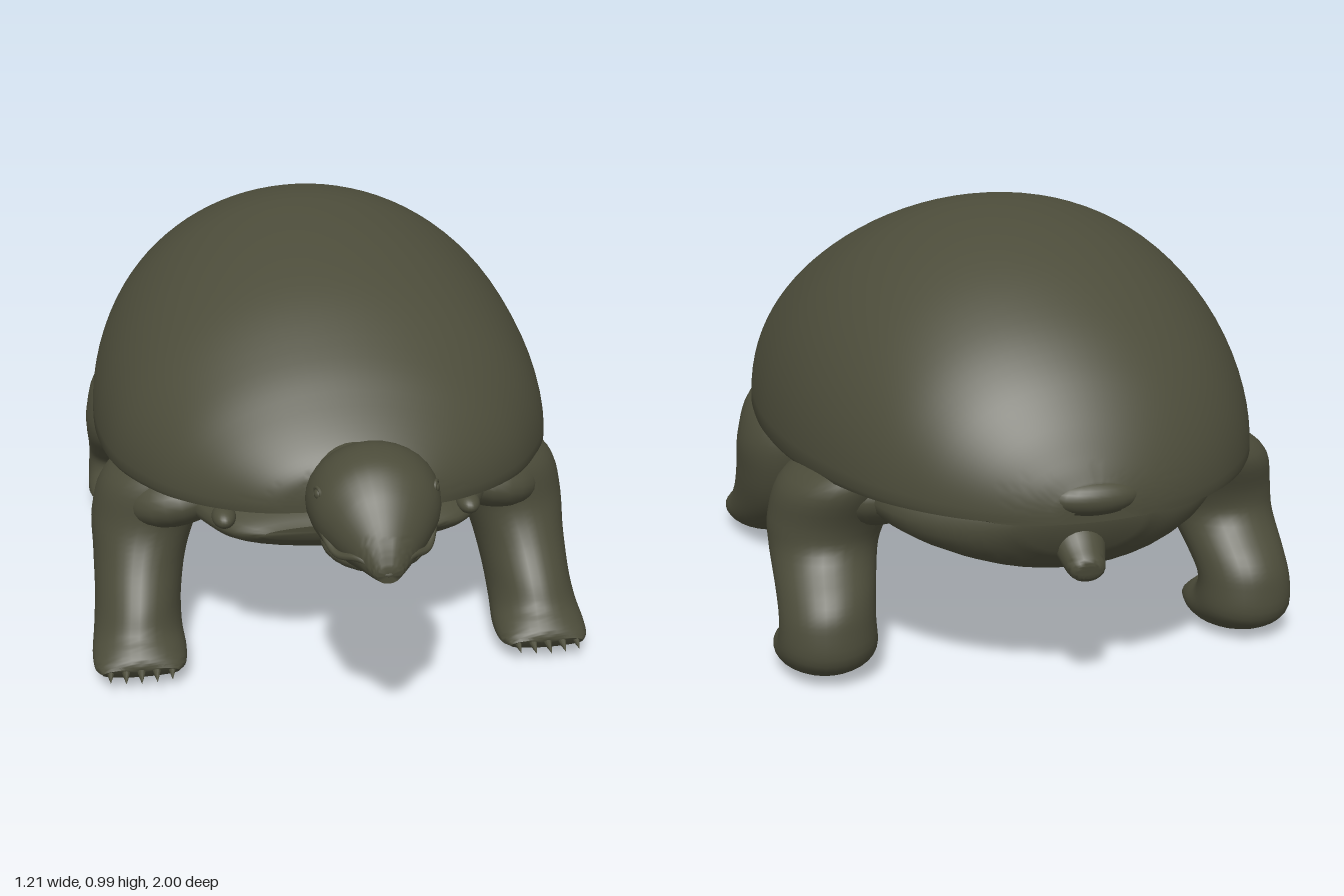
import * as THREE from 'three';
import { toCreasedNormals } from 'three/addons/utils/BufferGeometryUtils.js';

const skin = new THREE.MeshStandardMaterial({ color: 0x4c4c3a });
skin.name = 'olive';

// Closed surface through rings of points, wound so that it faces outward
function skinRings(rings, crease = 1) {
  const n = rings[0].length, pos = [], idx = [];
  rings.forEach(r => r.forEach(p => pos.push(...p)));
  for (let i = 0; i < rings.length - 1; i++) {
    for (let j = 0; j < n; j++) {
      const a = i * n + j, b = i * n + (j + 1) % n;
      idx.push(a, b, a + n, b, b + n, a + n);
    }
  }
  [0, rings.length - 1].forEach((k, end) => {
    const c = pos.length / 3;
    pos.push(...[0, 1, 2].map(d => rings[k].reduce((s, p) => s + p[d], 0) / n));
    for (let j = 0; j < n; j++) {
      const a = k * n + j, b = k * n + (j + 1) % n;
      if (end) idx.push(a, b, c); else idx.push(b, a, c);
    }
  });
  let volume = 0;
  const P = i => new THREE.Vector3().fromArray(pos, i * 3);
  for (let i = 0; i < idx.length; i += 3) volume += P(idx[i]).dot(P(idx[i + 1]).cross(P(idx[i + 2])));
  if (volume < 0) idx.reverse();
  const g = new THREE.BufferGeometry();
  g.setAttribute('position', new THREE.Float32BufferAttribute(pos, 3));
  g.setIndex(idx);
  return toCreasedNormals(g, crease);
}

// Smooths a list of six-number stations
function smooth(stations, steps) {
  const curve = o => new THREE.CatmullRomCurve3(
    stations.map(s => new THREE.Vector3(s[o], s[o + 1], s[o + 2])), false, 'catmullrom', 0.5);
  const a = curve(0), b = curve(3);
  return Array.from({ length: steps + 1 }, (_, i) =>
    [...a.getPoint(i / steps).toArray(), ...b.getPoint(i / steps).toArray()]);
}

// Elliptical loft; station = [centre x, half width, z1, y1, z2, y2] of the side outline
function limb(stations, side = 1, steps = 40, n = 32) {
  return skinRings(smooth(stations, steps).map(([x, w, z1, y1, z2, y2]) =>
    Array.from({ length: n }, (_, j) => {
      const t = j / n * Math.PI * 2, c = Math.cos(t) / 2;
      return [side * x + w * Math.sin(t), (y1 + y2) / 2 + c * (y1 - y2), (z1 + z2) / 2 + c * (z1 - z2)];
    })));
}

// Domed shell; station = [z, half width, rim y, top y]
function dome(stations) {
  const n = 48;
  return skinRings(smooth(stations.map(s => [...s, 0, 0]), 72).map(([z, w, rim, top]) => {
    const ring = [];
    for (let j = 0; j <= n; j++) {
      const t = j / n * Math.PI;
      ring.push([w * Math.cos(t), rim + 0.012 + (top - rim - 0.012) * Math.sin(t), z]);
    }
    // lip and hollow underside
    for (const k of [-0.985, -0.93, -0.86, -0.4, 0, 0.4, 0.86, 0.93, 0.985]) {
      ring.push([w * k, rim + (Math.abs(k) < 0.9 ? Math.min(0.03, (top - rim) * 0.3) : 0), z]);
    }
    return ring;
  }), 0.8);
}

export function createModel() {
  const model = new THREE.Group();
  const add = (name, geo, parent = model) => {
    const m = new THREE.Mesh(geo, skin);
    m.name = name;
    parent.add(m);
    return m;
  };
  const blob = (name, p, r) => {
    const m = add(name, new THREE.SphereGeometry(1, 24, 16));
    m.position.set(...p);
    m.scale.set(...r);
    return m;
  };

  // Shell
  add('shell', dome([
    [0.597, 0.12, 0.5, 0.575], [0.585, 0.19, 0.497, 0.605], [0.55, 0.262, 0.49, 0.645],
    [0.48, 0.355, 0.48, 0.705], [0.38, 0.443, 0.47, 0.78], [0.22, 0.525, 0.458, 0.872],
    [0.05, 0.562, 0.45, 0.935], [-0.12, 0.573, 0.445, 0.975], [-0.27, 0.567, 0.442, 0.988],
    [-0.44, 0.54, 0.443, 0.96], [-0.6, 0.492, 0.446, 0.898], [-0.74, 0.425, 0.447, 0.814],
    [-0.84, 0.345, 0.447, 0.728], [-0.91, 0.255, 0.445, 0.64], [-0.955, 0.165, 0.445, 0.565],
    [-0.98, 0.085, 0.447, 0.515]]));
  blob('shellTailBump', [0, 0.488, -0.95], [0.1, 0.04, 0.048]);

  // Underside
  add('belly', limb([
    [0, 0.2, 0.525, 0.43, 0.52, 0.39], [0, 0.275, 0.48, 0.455, 0.475, 0.35],
    [0, 0.335, 0.38, 0.49, 0.38, 0.315], [0, 0.42, 0.2, 0.52, 0.2, 0.3],
    [0, 0.49, 0, 0.54, 0, 0.292], [0, 0.49, -0.3, 0.54, -0.3, 0.303],
    [0, 0.44, -0.52, 0.53, -0.52, 0.3], [0, 0.36, -0.7, 0.51, -0.7, 0.275],
    [0, 0.24, -0.82, 0.49, -0.81, 0.28], [0, 0.13, -0.9, 0.47, -0.88, 0.34]]));
  add('bridge', limb([
    [0, 0.28, 0.44, 0.49, 0.44, 0.44], [0, 0.38, 0.32, 0.49, 0.32, 0.41],
    [0, 0.52, 0.1, 0.49, 0.1, 0.4], [0, 0.53, -0.2, 0.49, -0.2, 0.4],
    [0, 0.48, -0.5, 0.49, -0.5, 0.4], [0, 0.36, -0.76, 0.48, -0.76, 0.4],
    [0, 0.22, -0.9, 0.48, -0.9, 0.41]]));

  // Tail
  add('tail', limb([
    [0, 0.08, -0.78, 0.43, -0.78, 0.31], [0, 0.06, -0.86, 0.41, -0.85, 0.31],
    [0, 0.045, -0.91, 0.365, -0.89, 0.29], [0, 0.035, -0.935, 0.34, -0.92, 0.29],
    [0, 0.015, -0.935, 0.32, -0.93, 0.3]], 1, 20, 20));

  // Neck and head
  add('neckAndHead', limb([
    [0, 0.12, 0.4, 0.6, 0.4, 0.36], [0, 0.11, 0.54, 0.642, 0.51, 0.4],
    [0, 0.102, 0.62, 0.648, 0.585, 0.49], [0, 0.105, 0.68, 0.66, 0.66, 0.505],
    [0, 0.126, 0.725, 0.72, 0.72, 0.5], [0, 0.14, 0.79, 0.748, 0.78, 0.502],
    [0, 0.132, 0.86, 0.738, 0.855, 0.508], [0, 0.102, 0.915, 0.7, 0.91, 0.516],
    [0, 0.068, 0.955, 0.65, 0.95, 0.524], [0, 0.042, 0.982, 0.606, 0.978, 0.528],
    [0, 0.024, 0.998, 0.57, 0.994, 0.532]], 1, 60));
  blob('lowerJaw', [0, 0.543, 0.82], [0.112, 0.042, 0.125]);
  const lip = new THREE.CatmullRomCurve3([
    [-0.12, 0.6, 0.855], [-0.094, 0.567, 0.918], [-0.052, 0.575, 0.962], [0, 0.552, 0.99],
    [0.052, 0.575, 0.962], [0.094, 0.567, 0.918], [0.12, 0.6, 0.855]].map(p => new THREE.Vector3(...p)));
  add('lip', new THREE.TubeGeometry(lip, 40, 0.008, 8));

  // Legs: side outlines from hip or shoulder down to the toes
  const legs = {
    frontLeg: [
      [0.36, 0.1, 0.3, 0.5, 0.05, 0.5], [0.415, 0.138, 0.315, 0.43, 0.02, 0.43],
      [0.455, 0.132, 0.315, 0.33, 0, 0.33], [0.475, 0.114, 0.35, 0.25, 0.03, 0.22],
      [0.485, 0.105, 0.41, 0.17, 0.09, 0.13], [0.49, 0.106, 0.44, 0.122, 0.19, 0.055],
      [0.49, 0.112, 0.465, 0.1, 0.3, 0.012], [0.49, 0.107, 0.485, 0.08, 0.4, 0.008],
      [0.49, 0.09, 0.49, 0.065, 0.465, 0.027]],
    hindLeg: [
      [0.36, 0.1, -0.34, 0.49, -0.65, 0.49], [0.43, 0.135, -0.32, 0.42, -0.65, 0.42],
      [0.46, 0.135, -0.315, 0.33, -0.615, 0.33], [0.475, 0.122, -0.34, 0.255, -0.62, 0.27],
      [0.485, 0.11, -0.43, 0.185, -0.69, 0.19], [0.49, 0.106, -0.5, 0.14, -0.712, 0.13],
      [0.49, 0.11, -0.5, 0.11, -0.706, 0.05], [0.49, 0.112, -0.47, 0.095, -0.61, 0.001],
      [0.49, 0.1, -0.455, 0.08, -0.51, 0.01], [0.49, 0.085, -0.45, 0.06, -0.465, 0.027]],
  };
  for (const side of [1, -1]) {
    const label = side > 0 ? 'left' : 'right';
    for (const [name, stations] of Object.entries(legs)) {
      const leg = new THREE.Group();
      leg.name = `${label} ${name}`;
      model.add(leg);
      add('limb', limb(stations, side), leg);
      const front = name === 'frontLeg', count = front ? 5 : 4;
      for (let i = 0; i < count; i++) {
        const u = i / (count - 1) * 2 - 1;
        const claw = add('claw', new THREE.ConeGeometry(0.019, 0.075, 10), leg);
        claw.position.set(side * 0.49 + u * 0.072, 0.05, (front ? 0.484 : -0.452) - 0.01 * u * u);
        claw.rotation.x = Math.PI / 2 + 0.2;
      }
    }
    // Shoulder and hip muscles
    const shoulder = blob(`${label} shoulder`, [side * 0.375, 0.405, 0.2], [0.15, 0.085, 0.165]);
    shoulder.rotation.z = side * -0.25;
    blob(`${label} hip`, [side * 0.37, 0.4, -0.49], [0.15, 0.09, 0.16]);
    // Front corner of the lower shell
    blob(`${label} lowerShellHorn`, [side * 0.285, 0.43, 0.45], [0.028, 0.024, 0.045]);
    // Eye with its lid
    blob(`${label} eye`, [side * 0.119, 0.668, 0.847], [0.011, 0.012, 0.013]);
    const lid = add(`${label} eyelid`, new THREE.TorusGeometry(0.013, 0.004, 8, 20));
    lid.position.set(side * 0.122, 0.668, 0.847);
    lid.rotation.y = side * 1.2;
  }
  return model;
}
